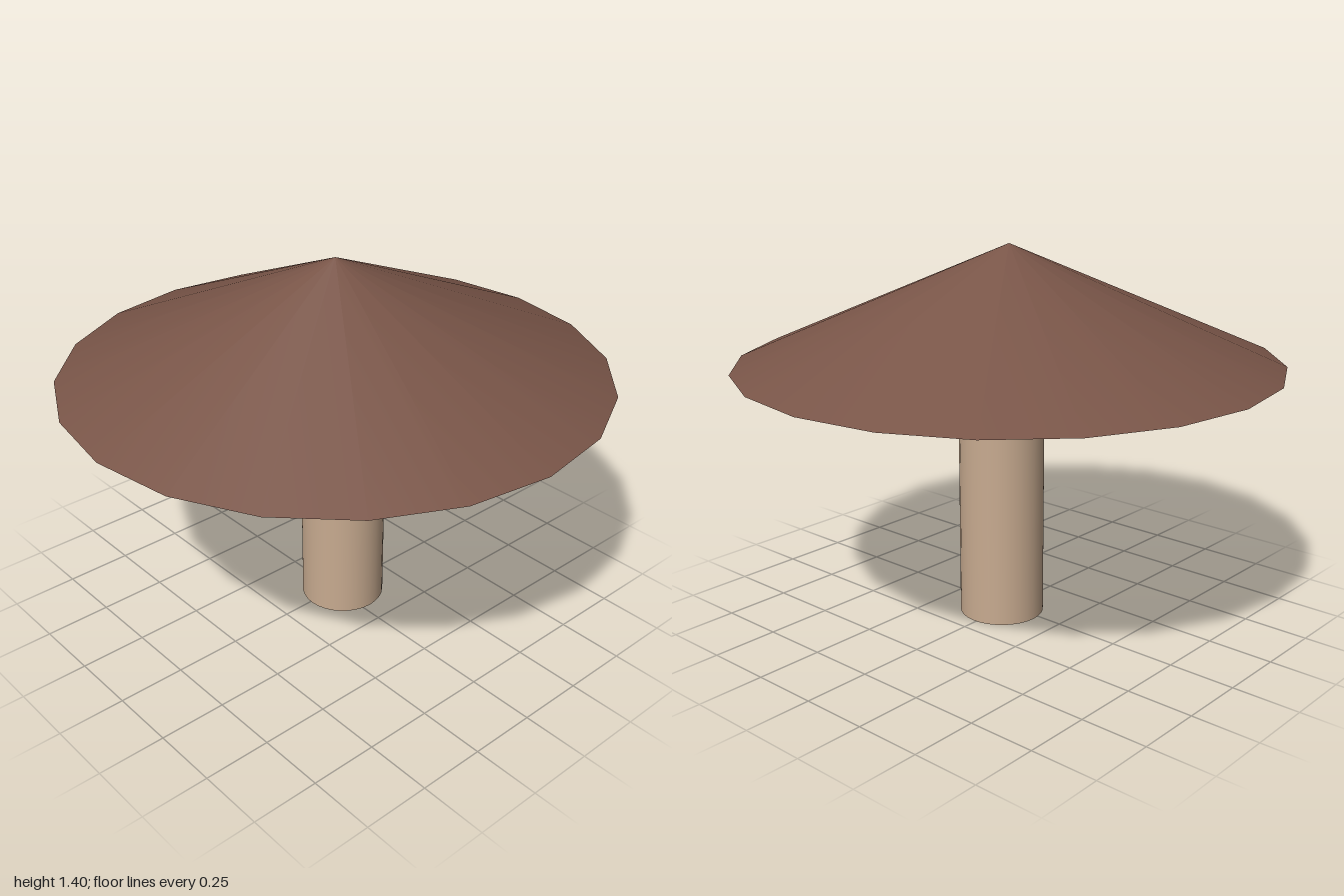
import * as THREE from 'three';

const SIDES = 20;
const capMaterial = new THREE.MeshStandardMaterial({ color: 0x795548 });
const stemMaterial = new THREE.MeshStandardMaterial({ color: 0xc8ab90 });

function addPart(group, name, geometry, material, x, y, z) {
  const mesh = new THREE.Mesh(geometry, material);
  mesh.name = name;
  mesh.position.set(x, y, z);
  group.add(mesh);
}

export function createModel() {
  const group = new THREE.Group();
  group.name = 'mushroom';

  // Wide conical cap with a closed flat underside
  addPart(group, 'cap', new THREE.ConeGeometry(1, 0.43, SIDES), capMaterial, 0, 1.185, 0);

  // Stem, standing slightly off the cap's axis
  const stemX = 0.01, stemZ = -0.03;
  addPart(group, 'stem', new THREE.CylinderGeometry(0.158, 0.158, 0.99, 32), stemMaterial, stemX, 0.495, stemZ);

  // Rounded collar under the cap, its top tucked into the cap
  const collarProfile = [
    [0.15, 0.865], [0.17, 0.885], [0.191, 0.912], [0.195, 0.935], [0.191, 0.955], [0.18, 0.98], [0.15, 1.0],
  ].map(([r, y]) => new THREE.Vector2(r, y));
  addPart(group, 'collar', new THREE.LatheGeometry(collarProfile, 32), stemMaterial, stemX, 0, stemZ);

  return group;
}
